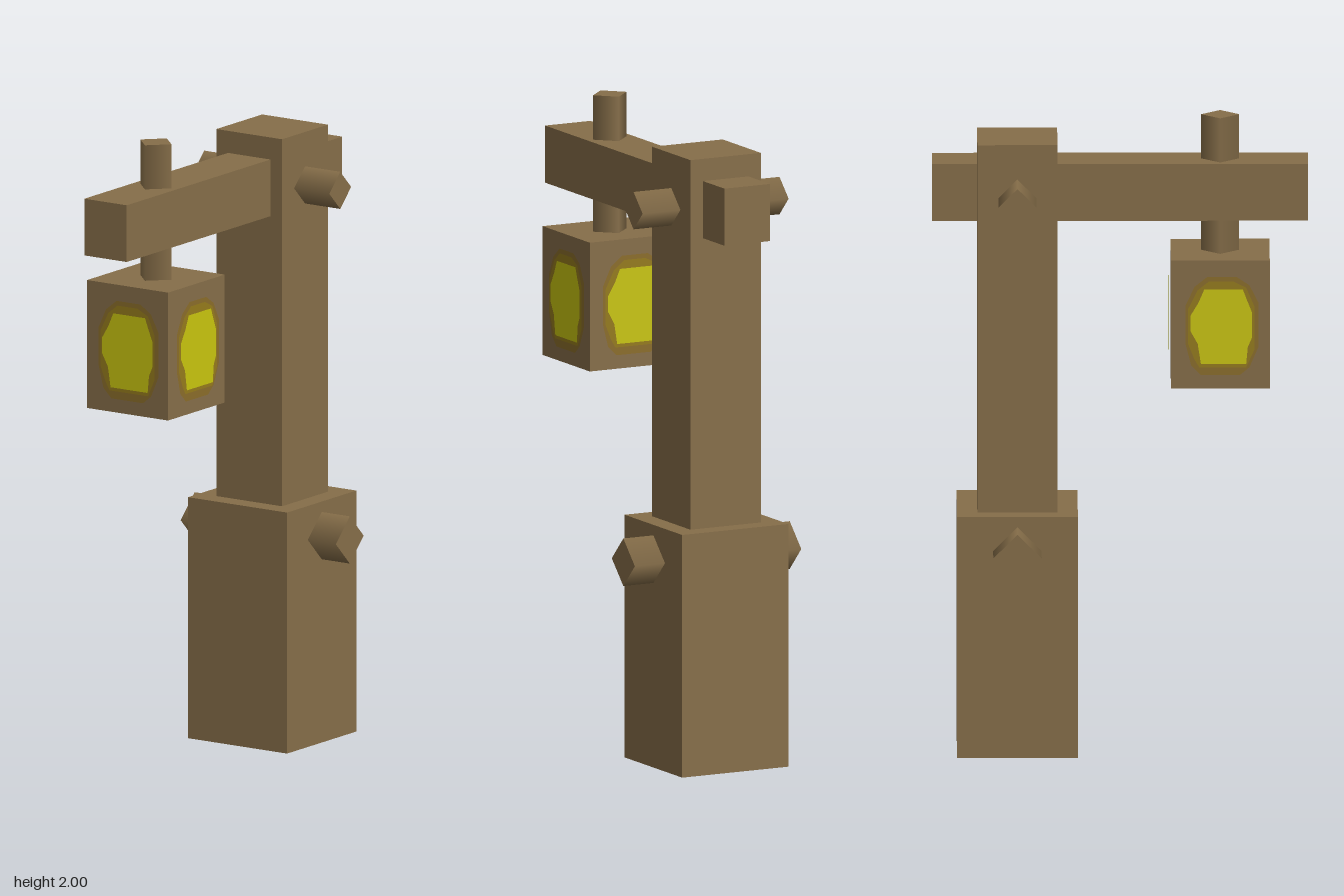
import * as THREE from 'three';

export function createModel() {
  const model = new THREE.Group();
  model.name = 'lanternPost';

  const material = (name, color) => {
    const m = new THREE.MeshStandardMaterial({ color });
    m.name = name;
    return m;
  };
  const wood = material('wood', 0x866e49);
  const haloOuter = material('dimGlow', 0x8b6d2a);
  const haloInner = material('warmGlow', 0x957b1c);
  const glow = material('yellowGlow', 0xc9c50f);

  const add = (name, geometry, mat, x, y, z, parent = model) => {
    const mesh = new THREE.Mesh(geometry, mat);
    mesh.name = name;
    mesh.position.set(x, y, z);
    parent.add(mesh);
    return mesh;
  };
  const box = (name, w, h, d, y, z) =>
    add(name, new THREE.BoxGeometry(w, h, d), wood, 0, y, z);
  // Four-sided dowel with smooth sides
  const dowel = (name, radius, length, y, z) =>
    add(name, new THREE.CylinderGeometry(radius, radius, length, 4), wood, 0, y, z);

  // Post
  const postZ = -0.318;
  box('base', 0.374, 0.765, 0.374, 0.3825, postZ);
  box('post', 0.248, 1.168, 0.248, 1.346, postZ);
  box('arm', 0.16, 0.18, 1.164, 1.77, 0);

  // Cross pegs through the base and the post
  dowel('basePeg', 0.075, 0.586, 0.657, postZ).rotation.z = Math.PI / 2;
  dowel('topPeg', 0.059, 0.514, 1.762, postZ).rotation.z = Math.PI / 2;

  // Hanging lantern
  const lanternY = 1.367, lanternZ = 0.31, lanternWidth = 0.306;
  dowel('hanger', 0.059, 0.46, 1.77, lanternZ);
  box('lantern', lanternWidth, 0.406, lanternWidth, lanternY, lanternZ);

  // Glowing window outlines, relative to the lantern centre
  const outline = (points) =>
    new THREE.ShapeGeometry(new THREE.Shape(points.map(([x, y]) => new THREE.Vector2(x, y))));
  const layers = [
    ['outerHalo', haloOuter, outline([
      [-0.06, -0.16], [0.06, -0.16], [0.09, -0.135], [0.118, -0.07], [0.118, 0.07],
      [0.09, 0.125], [0.05, 0.152], [-0.04, 0.152], [-0.08, 0.12], [-0.108, 0.06],
      [-0.108, -0.06], [-0.09, -0.13]])],
    ['innerHalo', haloInner, outline([
      [-0.065, -0.135], [0.08, -0.135], [0.105, -0.08], [0.105, 0.06],
      [0.08, 0.118], [0.04, 0.138], [-0.035, 0.138], [-0.07, 0.11], [-0.1, 0.05],
      [-0.1, -0.06], [-0.08, -0.11]])],
    ['glowCore', glow, outline([
      [-0.06, -0.124], [0.08, -0.124], [0.085, -0.07], [0.098, -0.04], [0.098, 0.04],
      [0.082, 0.08], [0.07, 0.112], [-0.05, 0.112], [-0.068, 0.07], [-0.092, 0.03],
      [-0.092, -0.02], [-0.07, -0.06]])],
  ];

  // One window on each side of the lantern
  ['front', 'left', 'back', 'right'].forEach((side, i) => {
    const pane = new THREE.Group();
    pane.name = side + 'Window';
    pane.position.set(0, lanternY, lanternZ);
    pane.rotation.y = i * Math.PI / 2;
    layers.forEach(([name, mat, geometry], k) =>
      add(name, geometry, mat, 0, 0, lanternWidth / 2 + 0.002 * (k + 1), pane));
    model.add(pane);
  });

  return model;
}
